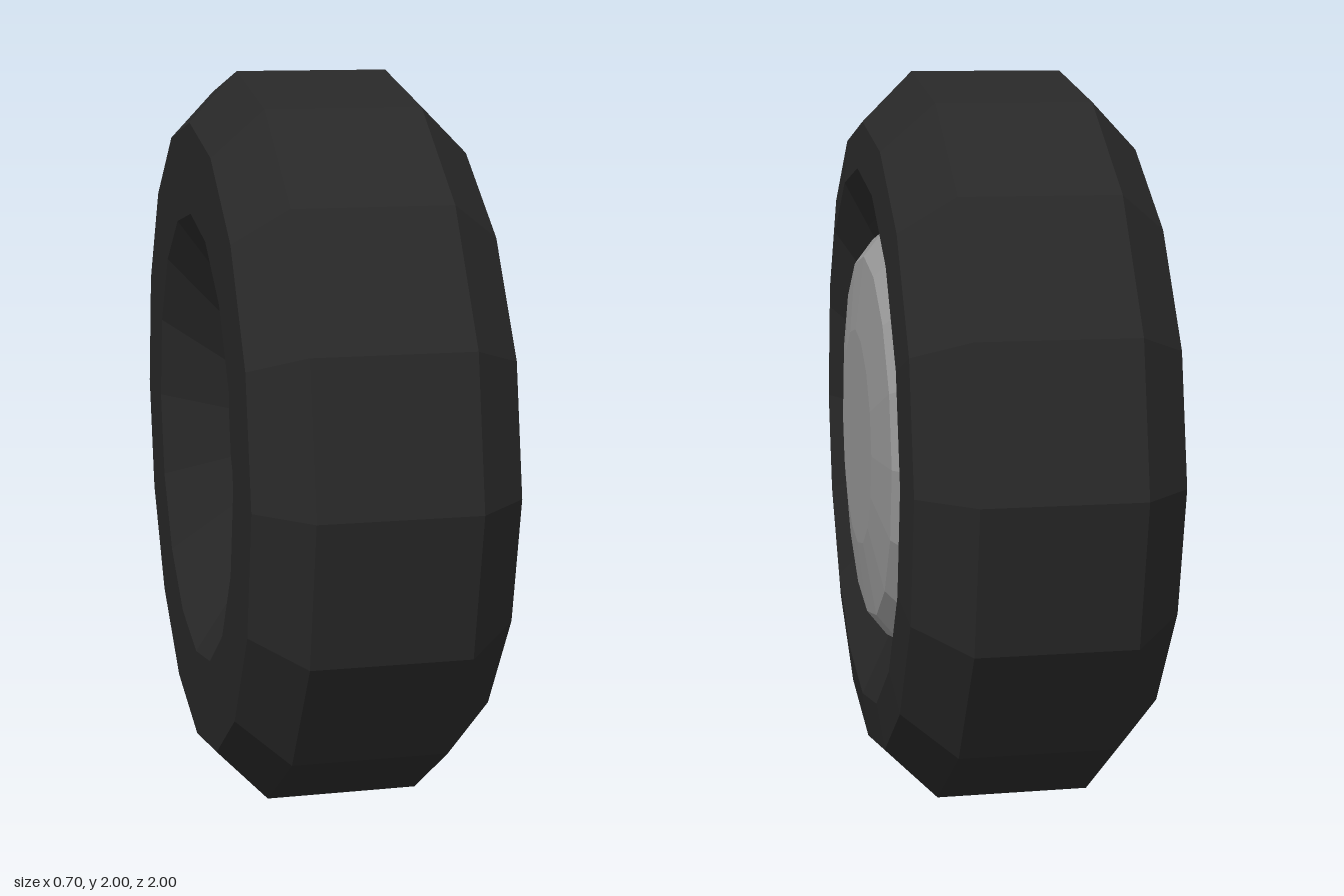
import * as THREE from 'three';

const SIDES = 16;

// Faceted solid of revolution about the x axis; profile is [radius, x] from the -x side to the +x side
function revolve(name, profile, material) {
  const points = profile.map(([r, x]) => new THREE.Vector2(r, x));
  const geometry = new THREE.LatheGeometry(points, SIDES).rotateZ(-Math.PI / 2).toNonIndexed();
  geometry.computeVertexNormals();
  const mesh = new THREE.Mesh(geometry, material);
  mesh.name = name;
  return mesh;
}

export function createModel() {
  const rubber = new THREE.MeshStandardMaterial({ color: 0x282828 });
  rubber.name = 'black rubber';
  const metal = new THREE.MeshStandardMaterial({ color: 0x999999 });
  metal.name = 'grey metal';

  const wheel = new THREE.Group();
  wheel.name = 'wheel';

  // Tyre with a dished inner side and a recess for the hub cap
  wheel.add(revolve('tyre', [
    [0, -0.185], [0.37, -0.185], [0.62, -0.35], [0.865, -0.35],
    [1, -0.22], [1, 0.19], [0.865, 0.325], [0.74, 0.34],
    [0.61, 0.28], [0.5, 0.23],
  ], rubber));

  // Bevelled, slightly domed hub cap
  wheel.add(revolve('hubCap', [
    [0.57, 0.2], [0.57, 0.27], [0.5, 0.325], [0.3, 0.35], [0, 0.35],
  ], metal));

  wheel.position.y = 1;
  const model = new THREE.Group();
  model.add(wheel);
  return model;
}
